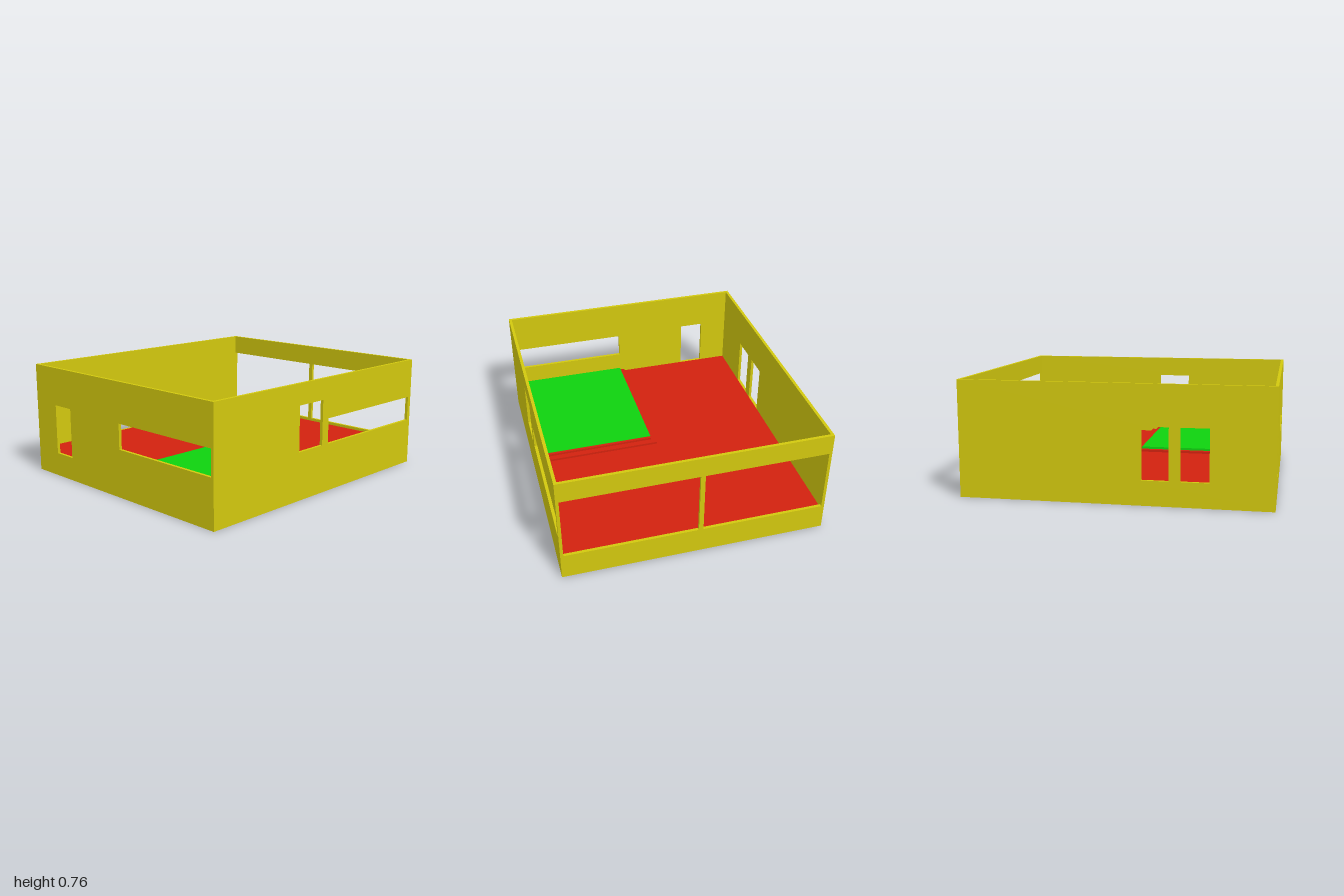
import * as THREE from 'three';

const W = 0.88, D = 1, H = 0.76, T = 0.02; // half width, half depth, wall height, wall thickness
const IN = W - T, DIN = D - T;

const yellow = new THREE.MeshStandardMaterial({ color: 0xd2c80e });
const red = new THREE.MeshStandardMaterial({ color: 0xd2220e });
const green = new THREE.MeshStandardMaterial({ color: 0x0ed20e });

const rect = (u0, u1, y0, y1) =>
  [[u0, y0], [u1, y0], [u1, y1], [u0, y1]].map(([u, y]) => new THREE.Vector2(u, y));

// Upright panel in the xy plane, T thick, with rectangular openings
function panel(name, outline, openings) {
  const shape = new THREE.Shape(outline.map(p => new THREE.Vector2(p[0], p[1])));
  for (const o of openings) shape.holes.push(new THREE.Path(rect(...o).reverse()));
  const geo = new THREE.ExtrudeGeometry(shape, { depth: T, bevelEnabled: false });
  const mesh = new THREE.Mesh(geo, yellow);
  mesh.name = name;
  return mesh;
}

// Box given by its limits
function block(name, mat, x0, x1, y0, y1, z0, z1) {
  const mesh = new THREE.Mesh(new THREE.BoxGeometry(x1 - x0, y1 - y0, z1 - z0), mat);
  mesh.position.set((x0 + x1) / 2, (y0 + y1) / 2, (z0 + z1) / 2);
  mesh.name = name;
  return mesh;
}

// Floor slab from a plan outline of [x, z] points
function slab(name, mat, plan, y0, y1) {
  const shape = new THREE.Shape(plan.map(([x, z]) => new THREE.Vector2(x, -z)));
  const geo = new THREE.ExtrudeGeometry(shape, { depth: y1 - y0, bevelEnabled: false });
  geo.rotateX(-Math.PI / 2).translate(0, y0, 0);
  const mesh = new THREE.Mesh(geo, mat);
  mesh.name = name;
  return mesh;
}

export function createModel() {
  const house = new THREE.Group();
  house.name = 'house';

  // Front wall: doorway, and a strip window running to the corner
  const front = panel('frontWall',
    [[-IN, 0], [IN, 0], [IN, 0.32], [0.03, 0.32], [0.03, 0.49], [IN, 0.49], [IN, H], [-IN, H]],
    [[-0.66, -0.49, 0.16, 0.5]]);
  front.position.z = DIN;
  house.add(front);

  // Side walls: panel u axis is turned to run along -z
  const side = [[-D, 0], [D, 0], [D, H], [-D, H]];
  const leftSide = panel('leftWall', side, [[-0.25, -0.02, 0.32, 0.62], [0.04, 0.97, 0.32, 0.49]]);
  const rightSide = panel('rightWall', side, [[-0.35, -0.18, 0.16, 0.5], [-0.6, -0.42, 0.16, 0.5]]);
  leftSide.position.x = IN;
  rightSide.position.x = -W;
  for (const wall of [leftSide, rightSide]) {
    wall.rotation.y = Math.PI / 2;
    house.add(wall);
  }

  // Back wall: sill, header and a slim post between two wide openings
  house.add(
    block('backSill', yellow, -IN, IN, 0, 0.18, -D, -DIN),
    block('backHeader', yellow, -IN, IN, 0.62, H, -D, -DIN),
    block('backPost', yellow, -0.045, -0.015, 0.18, 0.62, -D, -DIN));

  // L-shaped main floor, two low steps and the raised corner floor
  const gx = 0.03, gz = 0.02;
  house.add(
    slab('mainFloor', red,
      [[-IN, DIN], [gx, DIN], [gx, gz], [IN, gz], [IN, -DIN], [-IN, -DIN]], 0, 0.16),
    slab('lowerStep', red,
      [[-0.005, DIN], [gx, DIN], [gx, gz], [IN, gz], [IN, -0.04], [-0.005, -0.04]], 0.16, 0.175),
    block('upperStep', red, gx, IN, 0.175, 0.19, 0, gz),
    block('raisedFloor', green, gx, IN, 0, 0.19, gz, DIN));

  return house;
}
